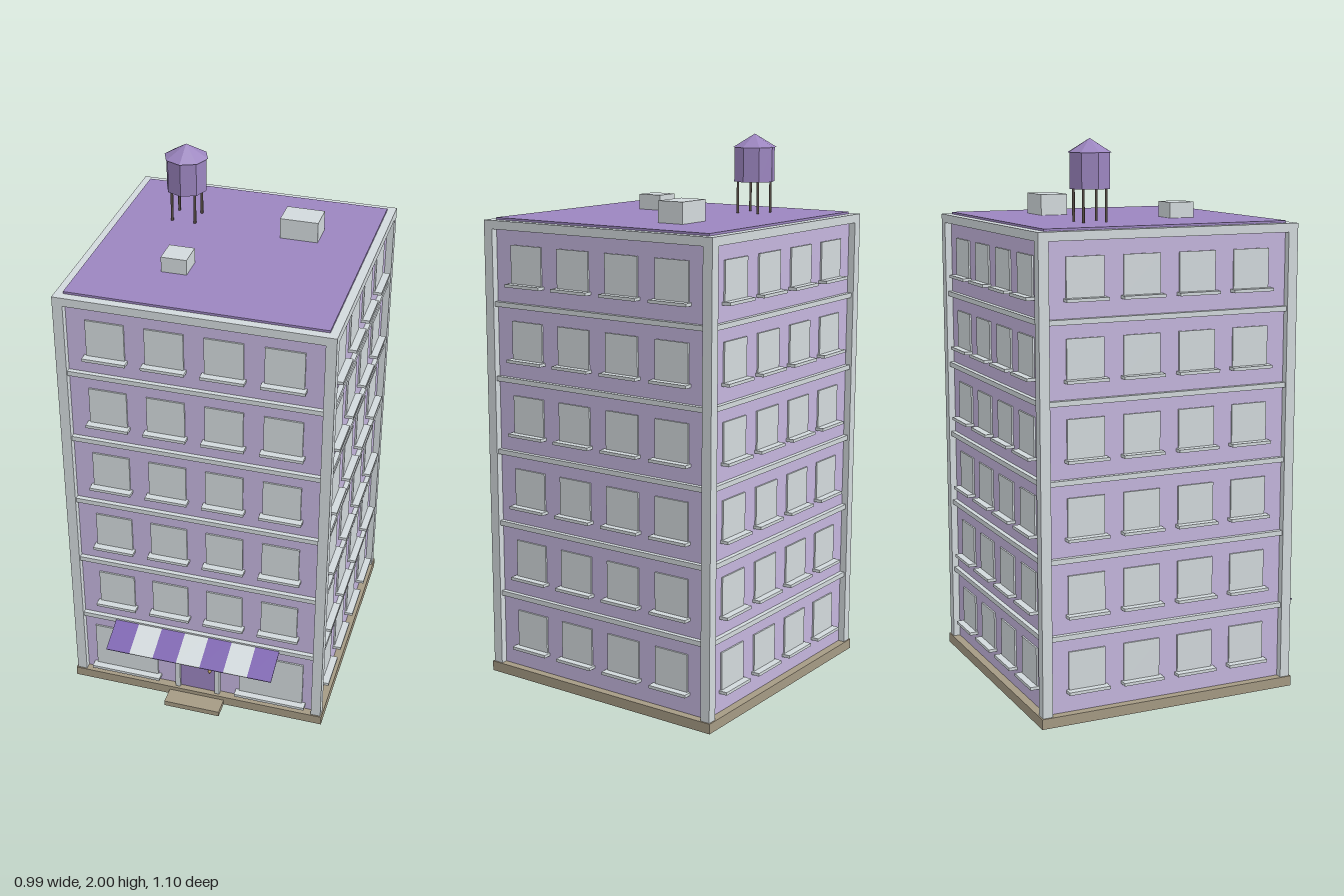
import * as THREE from 'three';

const mat = (name, color) => {
  const m = new THREE.MeshStandardMaterial({ color });
  m.name = name;
  return m;
};

export function createModel() {
  const wall = mat('lilac wall', 0xc4b5dd);
  const trim = mat('pale grey trim', 0xd2d9dc);
  const purple = mat('roof purple', 0x9b85bf);
  const stripe = mat('awning purple', 0x7f66b2);
  const stone = mat('plinth stone', 0xa59a84);
  const dark = mat('dark timber', 0x574d46);
  const brass = mat('brass', 0xb59a5c);

  const model = new THREE.Group();
  model.name = 'apartmentBuilding';
  const CZ = -0.053;      // centre of the building in z
  const H = 0.49;         // half width over the corner posts
  const W = 0.465;        // half width of the wall core
  const FLOOR = 0.2731;   // storey height

  const group = (name, parent = model) => {
    const g = new THREE.Group();
    g.name = name;
    parent.add(g);
    return g;
  };
  const add = (parent, name, geometry, material, x, y, z) => {
    const m = new THREE.Mesh(geometry, material);
    m.name = name;
    m.position.set(x, y, z);
    parent.add(m);
    return m;
  };
  // Box given by its minimum and maximum on each axis
  const box = (parent, name, material, x0, x1, y0, y1, z0, z1) =>
    add(parent, name, new THREE.BoxGeometry(x1 - x0, y1 - y0, z1 - z0), material,
      (x0 + x1) / 2, (y0 + y1) / 2, (z0 + z1) / 2);

  // Body, plinth and roof
  const body = group('body');
  body.position.z = CZ;
  box(body, 'wallCore', wall, -W, W, 0.03, 1.69, -W, W);
  box(body, 'plinth', stone, -0.495, 0.495, 0, 0.037, -0.495, 0.495);
  box(body, 'roofDeck', purple, -0.46, 0.46, 1.685, 1.714, -0.458, 0.458);
  for (const sx of [-1, 1]) {
    for (const sz of [-1, 1]) {
      const p = (H + 0.453) / 2;
      add(body, 'cornerPost', new THREE.BoxGeometry(0.037, 1.67, 0.037), trim, sx * p, 0.871, sz * p);
    }
  }

  // One window with its sill, on a facade facing +z
  const addWindow = (parent, x, y, w, h, sillW) => {
    box(parent, 'windowPane', trim, x - w / 2, x + w / 2, y, y + h, W, W + 0.006);
    box(parent, 'windowSill', trim, x - sillW / 2, x + sillW / 2, y - 0.011, y, W, 0.497);
  };

  // Four facades: front, left, back, right
  ['front', 'left', 'back', 'right'].forEach((side, i) => {
    const f = group(side + 'Facade');
    f.position.z = CZ;
    f.rotation.y = i * Math.PI / 2;
    box(f, 'topBeam', trim, -0.453, 0.453, 1.675, 1.706, 0.45, H);
    for (let s = 0; s < 6; s++) {
      if (s > 0) {
        const y = 0.313 + (s - 1) * FLOOR;
        box(f, 'floorBand', trim, -0.453, 0.453, y - 0.009, y + 0.009, W, 0.482);
      }
      if (i === 0 && s === 0) continue;
      for (const x of [-0.315, -0.105, 0.105, 0.315])
        addWindow(f, x, 0.118 + s * FLOOR, 0.138, 0.138, 0.155);
    }
    if (i === 0) {
      // Shop windows
      for (const x of [-0.288, 0.288]) addWindow(f, x, 0.066, 0.25, 0.19, 0.275);
      // Entrance
      box(f, 'doorStep', stone, -0.109, 0.109, 0, 0.021, 0.48, 0.563);
      box(f, 'door', purple, -0.07, 0.07, 0.037, 0.25, W, W + 0.008);
      for (const x of [-0.0785, 0.0785])
        box(f, 'doorJamb', trim, x - 0.0095, x + 0.0095, 0.037, 0.264, W, 0.484);
      box(f, 'doorLintel', trim, -0.069, 0.069, 0.248, 0.264, W, 0.484);
      add(f, 'doorKnob', new THREE.SphereGeometry(0.007, 10, 8), brass, 0.048, 0.14, W + 0.013);
    }
  });

  // Striped awning
  const awning = group('awning');
  const z0 = 0.412, z1 = 0.547, y0 = 0.32, y1 = 0.267;
  awning.position.set(0, (y0 + y1) / 2, (z0 + z1) / 2);
  awning.rotation.x = Math.atan2(y0 - y1, z1 - z0);
  const stripeW = 0.644 / 7;
  for (let i = 0; i < 7; i++) {
    add(awning, 'awningStripe', new THREE.BoxGeometry(stripeW, 0.004, Math.hypot(z1 - z0, y0 - y1)),
      i % 2 ? trim : stripe, (i - 3) * stripeW, 0, 0);
  }

  // Rooftop units
  box(model, 'largeRoofUnit', trim, 0.139, 0.277, 1.71, 1.79, -0.277, -0.175);
  box(model, 'smallRoofUnit', trim, -0.188, -0.096, 1.71, 1.77, 0.086, 0.181);

  // Water tank on four legs
  const tank = group('waterTank');
  tank.position.set(-0.228, 0, -0.244);
  const drum = new THREE.CylinderGeometry(0.075, 0.075, 0.125, 8).toNonIndexed();
  const cap = new THREE.ConeGeometry(0.081, 0.048, 8).toNonIndexed();
  for (const g of [drum, cap]) g.computeVertexNormals();
  add(tank, 'tankDrum', drum, purple, 0, 1.8905, 0);
  add(tank, 'tankRoof', cap, purple, 0, 1.976, 0);
  for (const x of [-0.043, 0.043])
    for (const z of [-0.043, 0.043])
      add(tank, 'tankLeg', new THREE.CylinderGeometry(0.005, 0.005, 0.125, 6), dark, x, 1.77, z);

  return model;
}
